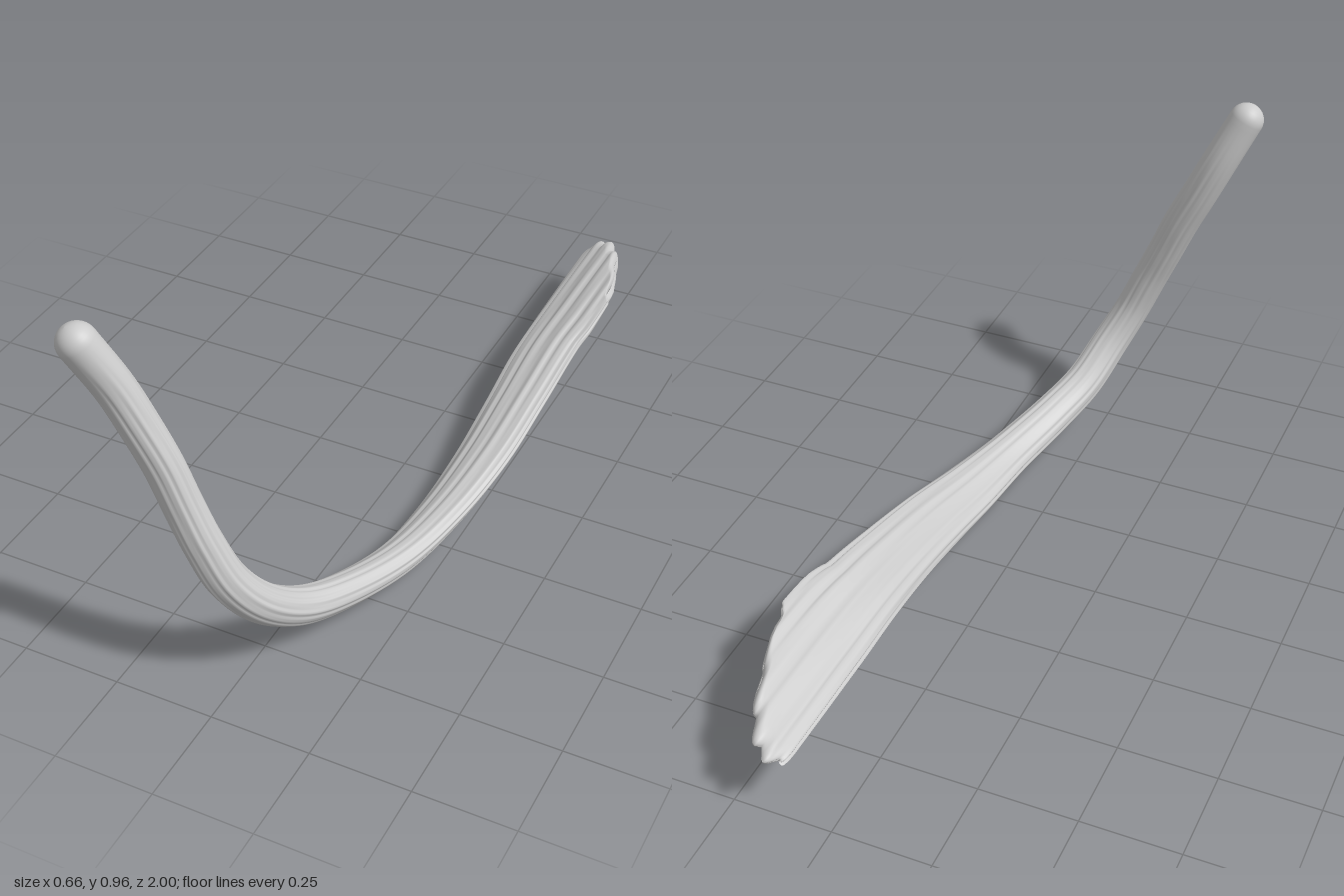
import * as THREE from 'three';

// Stations along the strand: centre x, y, z, then half width and half thickness
const STATIONS = [
  [-0.288, 0.915, 0.952, 0.047, 0.046],
  [-0.235, 0.80, 0.918, 0.048, 0.044],
  [-0.19, 0.70, 0.902, 0.048, 0.043],
  [-0.143, 0.60, 0.893, 0.048, 0.042],
  [-0.102, 0.50, 0.890, 0.047, 0.043],
  [-0.06, 0.40, 0.885, 0.047, 0.045],
  [-0.017, 0.295, 0.865, 0.048, 0.047],
  [0.025, 0.205, 0.812, 0.050, 0.047],
  [0.065, 0.12, 0.71, 0.052, 0.046],
  [0.108, 0.077, 0.59, 0.055, 0.043],
  [0.163, 0.048, 0.40, 0.061, 0.039],
  [0.195, 0.055, 0.20, 0.075, 0.036],
  [0.215, 0.087, 0.00, 0.087, 0.036],
  [0.22, 0.128, -0.20, 0.095, 0.034],
  [0.22, 0.165, -0.40, 0.105, 0.031],
  [0.224, 0.178, -0.60, 0.114, 0.028],
  [0.225, 0.185, -0.80, 0.116, 0.025],
  [0.225, 0.190, -1.00, 0.116, 0.021],
];
const SIDES = 80;
const WIDE = new THREE.Vector3(0.88, 0.47, 0).normalize();
const FAN_START = -0.4;

// Lengthwise fibres: rounded cords with creases between them
function fibres(theta, t) {
  const cord = (n, drift, phase) => Math.abs(Math.sin(n * theta / 2 + drift * t + phase));
  return 0.6 * cord(13, 3, 0.4) + 0.4 * cord(22, -4, 1.3) - 0.64;
}

// Slanted, lobed end of the fan, for u = -1..1 across its width
function fanEnd(u) {
  const lobes = 0.028 * (1 - Math.abs(Math.sin(u * 7.2 + 0.1)));
  return -1 + 0.143 * (u + 0.67) ** 2 + lobes;
}

function strandGeometry() {
  const path = new THREE.CatmullRomCurve3(STATIONS.map(s => new THREE.Vector3(s[0], s[1], s[2])));
  const size = new THREE.CatmullRomCurve3(STATIONS.map(s => new THREE.Vector3(s[3], s[4], 0)));

  // Rings: t along the path, push beyond the start, scale of width and thickness
  const rings = [];
  for (let i = 0; i <= 8; i++) {
    const a = (i / 8) * Math.PI / 2;
    rings.push({ t: 0, push: Math.cos(a), w: Math.sin(a), h: Math.sin(a) });
  }
  const body = 120, endT = 0.985;
  for (let i = 1; i <= body; i++) rings.push({ t: endT * i / body, push: 0, w: 1, h: 1 });
  for (let i = 1; i <= 8; i++) {
    const a = (i / 8) * Math.PI / 2;
    rings.push({ t: endT + (1 - endT) * Math.sin(a), push: 0, w: 0.93 + 0.07 * Math.cos(a), h: Math.cos(a) });
  }

  const positions = [], index = [];
  rings.forEach(({ t, push, w, h }, r) => {
    const centre = path.getPoint(t);
    const tangent = path.getTangent(t);
    const half = size.getPoint(t);
    const across = WIDE.clone().addScaledVector(tangent, -WIDE.dot(tangent)).normalize();
    const up = new THREE.Vector3().crossVectors(tangent, across);
    centre.addScaledVector(tangent, -push * half.y);
    const depth = THREE.MathUtils.smoothstep(t, 0, 0.12) * 0.09
      + THREE.MathUtils.smoothstep(t, 0.5, 0.9) * 0.28;
    for (let j = 0; j < SIDES; j++) {
      const theta = (j / SIDES) * Math.PI * 2;
      const u = Math.cos(theta);
      const f = fibres(theta, t);
      const p = centre.clone()
        .addScaledVector(across, u * half.x * w * (1 + f * Math.min(depth, 0.09)))
        .addScaledVector(up, Math.sin(theta) * half.y * h * (1 + f * depth));
      // Stretch the fan out to its ragged edge
      if (p.z < FAN_START) p.z = FAN_START + (p.z - FAN_START) * (fanEnd(u) - FAN_START) / (-1 - FAN_START);
      positions.push(p.x, p.y, p.z);
      if (r < rings.length - 1) {
        const a = r * SIDES + j, b = r * SIDES + (j + 1) % SIDES;
        index.push(a, b, a + SIDES, b, b + SIDES, a + SIDES);
      }
    }
  });

  const geometry = new THREE.BufferGeometry();
  geometry.setAttribute('position', new THREE.Float32BufferAttribute(positions, 3));
  geometry.setIndex(index);
  geometry.computeVertexNormals();
  return geometry;
}

export function createModel() {
  const group = new THREE.Group();
  group.name = 'fibrousStrand';
  const material = new THREE.MeshStandardMaterial({ color: 0xcccccc, side: THREE.DoubleSide });
  const strand = new THREE.Mesh(strandGeometry(), material);
  strand.name = 'strandWithFannedEnd';
  group.add(strand);
  return group;
}
